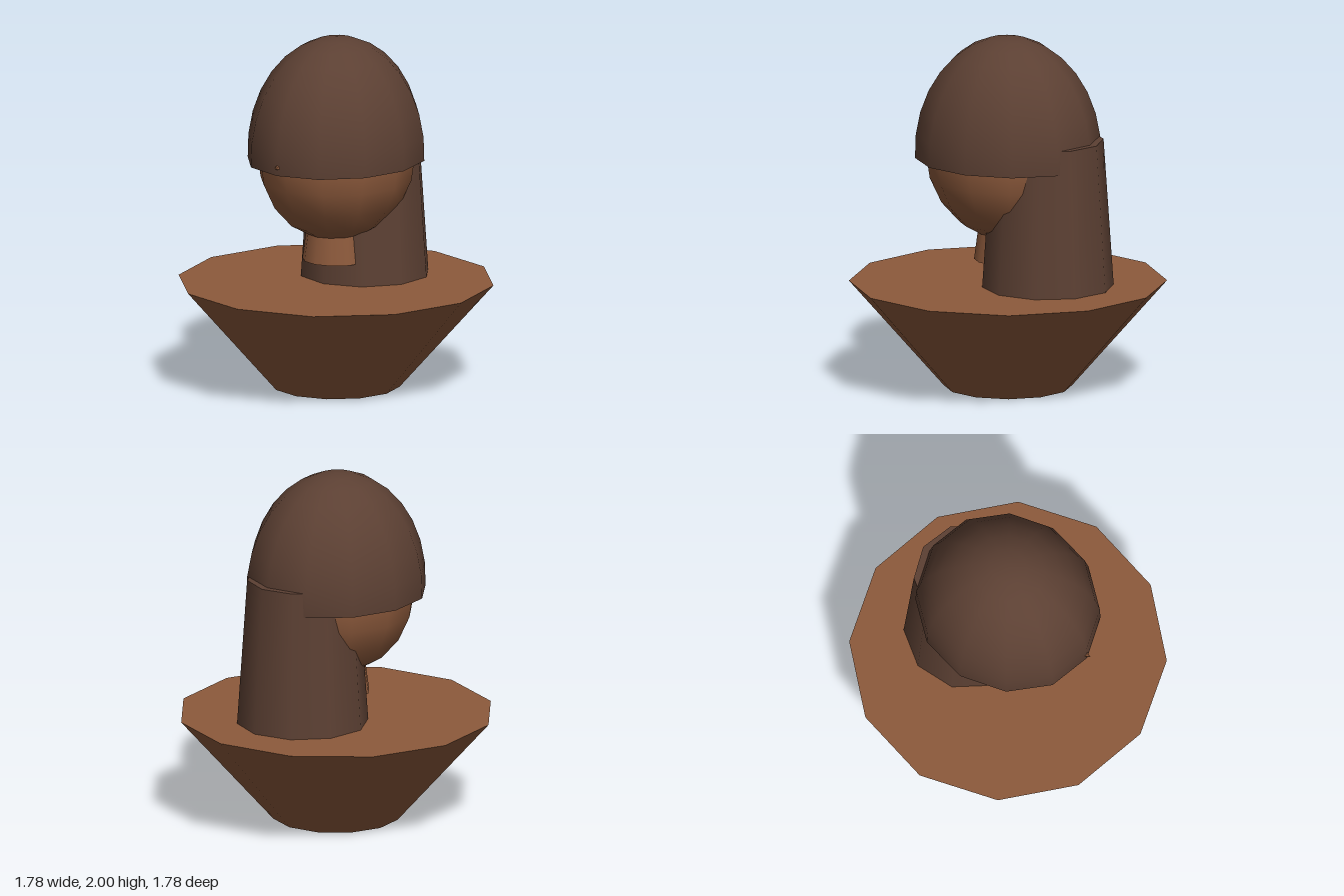
import * as THREE from 'three';

const skin = new THREE.MeshStandardMaterial({ color: 0x8d5a3c });
skin.name = 'skin brown';
const hair = new THREE.MeshStandardMaterial({ color: 0x5c4033, side: THREE.DoubleSide });
hair.name = 'hair dark brown';

export function createModel() {
  const group = new THREE.Group();
  const add = (name, geometry, material, y, z = 0) => {
    const mesh = new THREE.Mesh(geometry, material);
    mesh.name = name;
    mesh.position.set(0, y, z);
    group.add(mesh);
    return mesh;
  };

  // Flared bust, standing on its narrow end
  add('shoulders', new THREE.CylinderGeometry(0.89, 0.36, 0.6, 12), skin, 0.3);

  // Short neck, mostly inside the back hair
  add('neck', new THREE.CylinderGeometry(0.16, 0.19, 0.225, 12), skin, 0.8375);

  // Egg-shaped head
  add('head', new THREE.SphereGeometry(1, 12, 10), skin, 1.34).scale.set(0.44, 0.5, 0.467);

  // Small pointed nose, its tip just breaking through the fringe
  const nose = new THREE.ConeGeometry(0.05, 0.1, 6).rotateX(Math.PI / 2);
  add('nose', nose, skin, 1.345, 0.505);

  // Open cap of hair, ending just below the middle of the head
  const cap = new THREE.SphereGeometry(1, 12, 8, 0, Math.PI * 2, 0, Math.PI * 0.52);
  add('hairCap', cap, hair, 1.34).scale.set(0.485, 0.66, 0.533);

  // Long hair falling down the back
  add('backHair', new THREE.CylinderGeometry(0.313, 0.37, 0.835, 10), hair, 1.0175, -0.257);

  return group;
}
